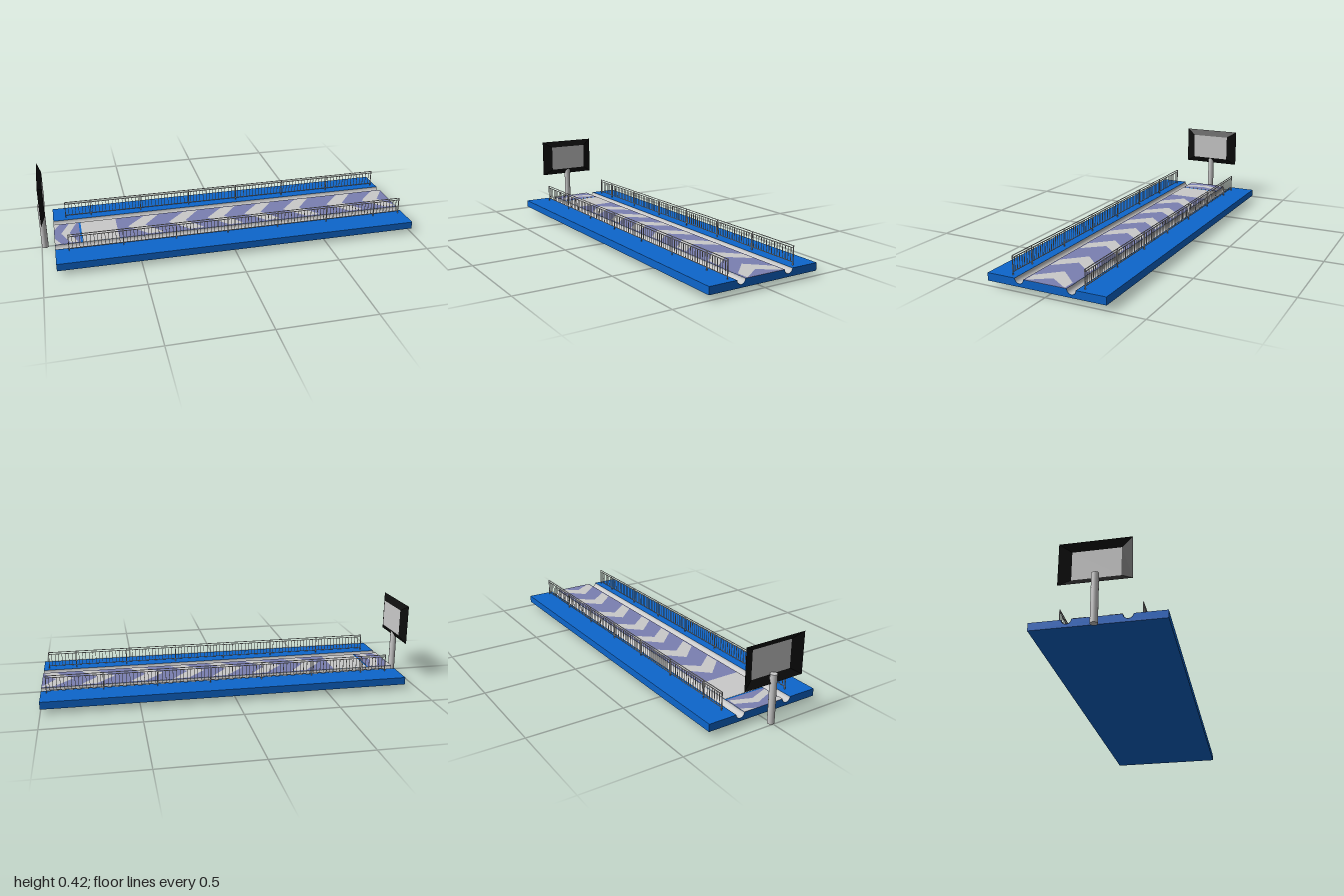
import * as THREE from 'three';
import { mergeGeometries } from 'three/addons/utils/BufferGeometryUtils.js';

const DS = THREE.DoubleSide;
const mat = (name, color, side = THREE.FrontSide) => {
  const m = new THREE.MeshStandardMaterial({ color, side });
  m.name = name;
  return m;
};

export function createModel() {
  const blue = mat('blue deck', 0x0d66cc);
  const grey = mat('light grey', 0xcacaca, DS);
  const purple = mat('lane purple', 0x7b80b2);
  const black = mat('black frame', 0x0d0d0d, DS);

  const group = new THREE.Group();
  const add = (name, geometry, material) => {
    const mesh = new THREE.Mesh(geometry, material);
    mesh.name = name;
    group.add(mesh);
    return mesh;
  };
  const box = (x0, x1, y0, y1, z0, z1) =>
    new THREE.BoxGeometry(x1 - x0, y1 - y0, z1 - z0)
      .translate((x0 + x1) / 2, (y0 + y1) / 2, (z0 + z1) / 2);

  // Deck: cross-section with two round gutters, extruded along x
  const X0 = -0.93, X1 = 1, LEN = X1 - X0, TOP = 0.064, R = 0.0235, GZ = 0.138;
  const section = new THREE.Shape();
  section.moveTo(-0.313, 0.025);
  section.lineTo(0.313, 0.025);
  section.lineTo(0.313, TOP);
  for (const c of [GZ, -GZ]) {
    section.lineTo(c + R, TOP);
    section.absarc(c, TOP, R, 0, -Math.PI, true);
  }
  section.lineTo(-0.313, TOP);
  section.closePath();
  const deck = new THREE.ExtrudeGeometry(section, { depth: LEN, bevelEnabled: false, curveSegments: 16 });
  add('deck', deck.rotateY(Math.PI / 2).translate(X0, 0, 0), blue);

  // Gutter linings
  for (const z of [GZ, -GZ]) {
    const lining = new THREE.CylinderGeometry(R - 0.001, R - 0.001, LEN, 16, 1, true, Math.PI, Math.PI);
    add('gutter', lining.rotateZ(Math.PI / 2).translate((X0 + X1) / 2, TOP, z), grey);
  }

  // Lane plates
  const W = 0.114;
  add('approachLane', box(X0, -0.795, TOP, TOP + 0.001, -W, W), purple);
  add('foulZone', box(-0.785, -0.593, TOP, TOP + 0.001, -W, W), grey);
  add('mainLane', box(-0.593, X1, TOP, TOP + 0.001, -W, W), purple);

  // Flat markings on the lane, points given as [x, z]
  const marking = (name, points) => {
    const shape = new THREE.Shape(points.map(([x, z]) => new THREE.Vector2(x, -z)));
    add(name, new THREE.ShapeGeometry(shape).rotateX(-Math.PI / 2).translate(0, TOP + 0.0025, 0), grey);
  };
  const chevron = (tip, reach, thick, arm, half) => marking('chevron', [
    [tip, 0], [tip + reach, half], [tip + reach + arm, half],
    [tip + thick, 0], [tip + reach + arm, -half], [tip + reach, -half],
  ]);
  for (const tip of [-0.535, -0.31, -0.09, 0.123, 0.353, 0.615, 0.834]) {
    chevron(tip, 0.1, 0.095, Math.min(0.082, X1 - tip - 0.1), 0.104);
  }
  chevron(-0.893, 0.045, 0.045, 0.04, 0.108);
  for (const s of [1, -1]) {
    marking('cornerMark', [[X0, s * W], [X0 + 0.035, s * W], [X0, s * 0.045]]);
  }

  // Railings: rails, posts and balusters
  const railing = (name, z, firstPost) => {
    const A = -0.86, B = 0.97, parts = [];
    const upright = (x, y0, y1, w) => parts.push(box(x - w / 2, x + w / 2, y0, y1, z - w / 2, z + w / 2));
    for (const y of [0.157, 0.146, 0.079]) {
      parts.push(box(A, B, y - 0.0015, y + 0.0015, z - 0.0018, z + 0.0018));
    }
    upright(A, TOP, 0.158, 0.004);
    upright(B, TOP, 0.158, 0.004);
    for (let x = firstPost; x < B - 0.02; x += 0.28) upright(x, TOP, 0.158, 0.004);
    for (let x = A + 0.0187; x < B - 0.005; x += 0.0187) upright(x, 0.079, 0.146, 0.0025);
    add(name, mergeGeometries(parts), grey);
  };
  railing('leftRailing', 0.191, -0.58);
  railing('rightRailing', -0.191, -0.72);

  // Sign pole
  add('signPole', new THREE.CylinderGeometry(0.0175, 0.0175, 0.25, 24).translate(-0.9825, 0.125, 0), grey);

  // Sign frame: sloping border, open at the back
  const CY = 0.3125, XB = -0.986, XF = -0.963;
  const corners = (x, h, w) => [[1, 1], [1, -1], [-1, -1], [-1, 1]].map(([a, b]) => [x, CY + a * h, b * w]);
  const outer = corners(XB, 0.1075, 0.169), inner = corners(XF, 0.073, 0.1135);
  const verts = [];
  for (let i = 0; i < 4; i++) {
    const j = (i + 1) % 4;
    verts.push(...outer[i], ...inner[j], ...outer[j], ...outer[i], ...inner[i], ...inner[j]);
  }
  // Keep the faces turned toward +x
  const frame = new THREE.BufferGeometry();
  for (let i = 0; i < verts.length; i += 9) {
    const [a, b, c] = [0, 3, 6].map((k) => new THREE.Vector3(...verts.slice(i + k, i + k + 3)));
    if (b.clone().sub(a).cross(c.clone().sub(a)).x < 0) {
      verts.splice(i + 3, 6, ...c.toArray(), ...b.toArray());
    }
  }
  frame.setAttribute('position', new THREE.Float32BufferAttribute(verts, 3));
  frame.computeVertexNormals();
  add('signFrame', frame, black);

  // Sign screen
  add('signScreen', new THREE.PlaneGeometry(0.227, 0.146).rotateY(Math.PI / 2).translate(XF, CY, 0), grey);

  return group;
}
